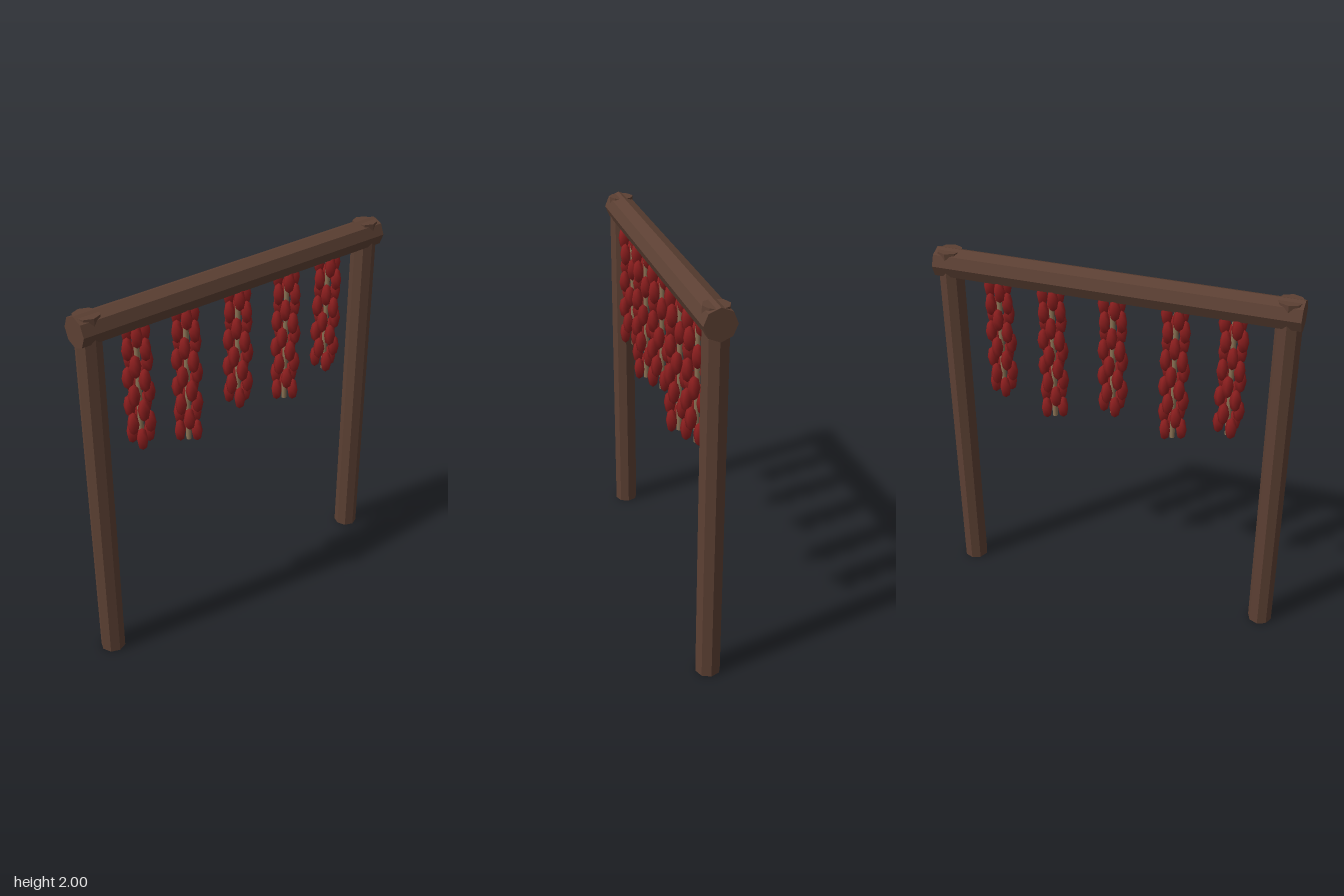
import * as THREE from 'three';

const make = (name, color) => {
  const m = new THREE.MeshStandardMaterial({ color });
  m.name = name;
  return m;
};

// Flat-faced octagonal log with corners on its axes
function log(name, radius, length, material) {
  const geometry = new THREE.CylinderGeometry(radius, radius, length, 8).toNonIndexed();
  geometry.computeVertexNormals();
  const mesh = new THREE.Mesh(geometry, material);
  mesh.name = name;
  return mesh;
}

export function createModel() {
  const wood = make('brown wood', 0x5c4033);
  const red = make('dried red', 0x8b1e1e);
  const twine = make('tan twine', 0x8b7355);
  const model = new THREE.Group();
  model.name = 'dryingRack';

  // Posts poke up through the beam
  const postTop = 1.992;
  for (const side of [-1, 1]) {
    const post = log(side > 0 ? 'leftPost' : 'rightPost', 0.066, postTop, wood);
    post.position.set(side * 0.886, postTop / 2, 0);
    model.add(post);
  }

  // Cross beam
  const beam = log('crossBeam', 0.08, 1.91, wood);
  beam.rotation.z = Math.PI / 2;
  beam.position.y = 1.92;
  model.add(beam);

  // Hanging strings: tiers of three pods twisting around a cord
  const podGeometry = new THREE.SphereGeometry(1, 6, 4);
  podGeometry.scale(0.031, 0.064, 0.031);
  const tierStep = 0.081, firstTier = 1.818;
  [[-0.625, 8], [-0.331, 9], [0, 8], [0.331, 9], [0.625, 8]].forEach(([x, tiers], s) => {
    const string = new THREE.Group();
    string.name = `hangingString${s + 1}`;
    string.position.x = x;

    const bottom = firstTier - (tiers - 1) * tierStep - 0.066;
    const cord = new THREE.Mesh(
      new THREE.CylinderGeometry(0.014, 0.014, 1.9 - bottom, 6), twine);
    cord.name = 'cord';
    cord.position.y = (1.9 + bottom) / 2;
    string.add(cord);

    for (let tier = 0; tier < tiers; tier++) {
      for (let j = 0; j < 3; j++) {
        const a = tier * 0.9 + j * Math.PI * 2 / 3;
        const pod = new THREE.Mesh(podGeometry, red);
        pod.name = 'pod';
        pod.position.set(Math.cos(a) * 0.05, firstTier - tier * tierStep, -Math.sin(a) * 0.05);
        pod.rotation.y = a;
        string.add(pod);
      }
    }
    model.add(string);
  });

  return model;
}
